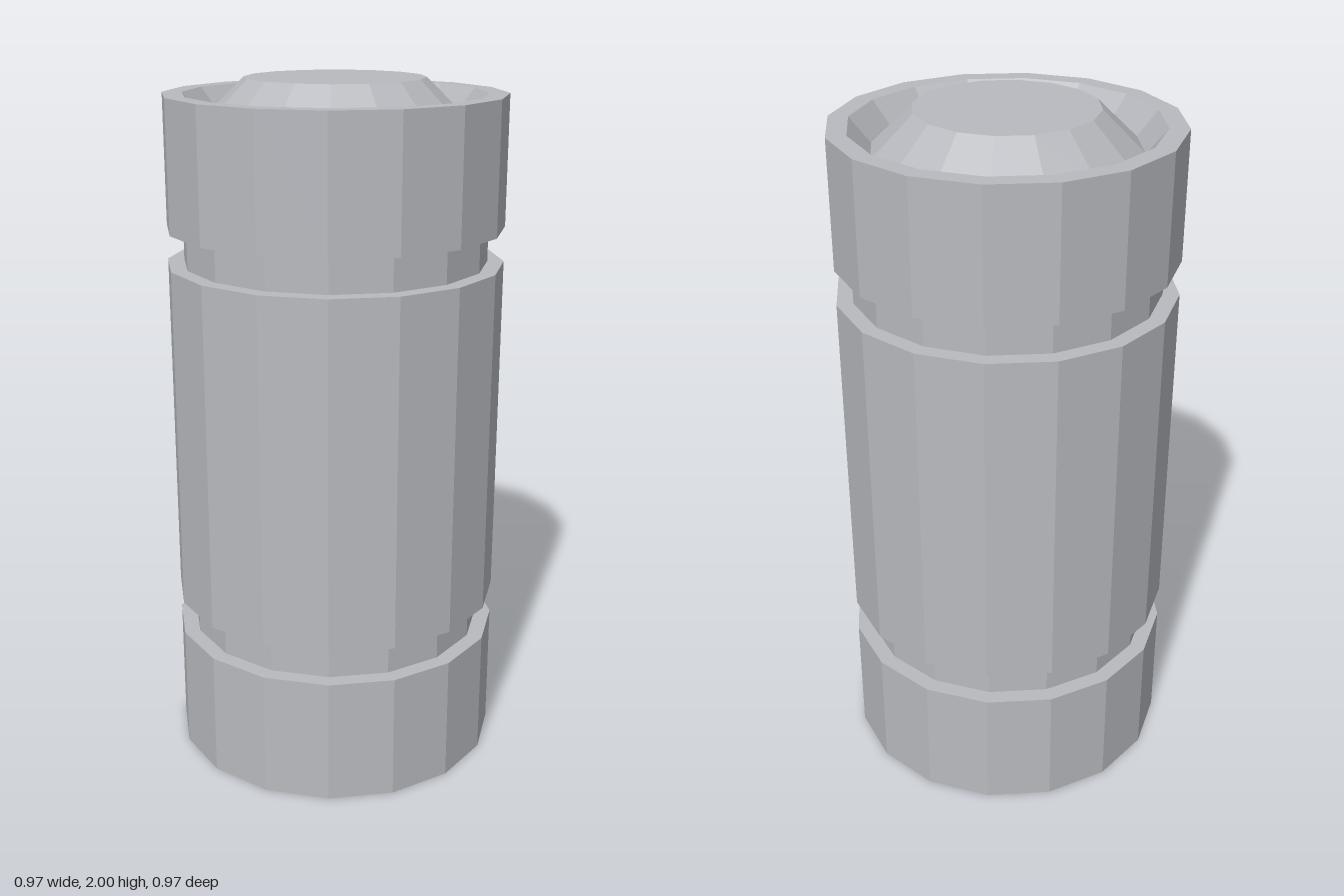
import * as THREE from 'three';

const SIDES = 16;
const R = 0.485;         // outer radius
const GROOVE = 0.438;    // radius at the bottom of the grooves
const RIM = 0.429;       // inner edge of the end rims
const SEAT = 0.37;       // foot of the sloped rims
const TOP = 1.957;       // height of the upper rim
const DEPTH = 0.07;      // depth of the recesses at both ends

export function createModel() {
  const group = new THREE.Group();
  const grey = new THREE.MeshStandardMaterial({ color: 0xb8babf });
  grey.name = 'grey';

  // Faceted turned part from [radius, height] points, listed bottom to top on the outside
  const turned = (name, profile) => {
    const lathe = new THREE.LatheGeometry(profile.map(([r, y]) => new THREE.Vector2(r, y)), SIDES);
    const geometry = lathe.toNonIndexed();
    geometry.computeVertexNormals();
    const mesh = new THREE.Mesh(geometry, grey);
    mesh.name = name;
    group.add(mesh);
  };

  // Lower end with its recessed underside
  turned('lowerCap', [[0, DEPTH], [SEAT, DEPTH], [RIM, 0], [R, 0], [R, 0.371], [GROOVE, 0.371]]);

  // Narrow necks between the main sections
  turned('lowerNeck', [[GROOVE, 0.371], [GROOVE, 0.472]]);
  turned('upperNeck', [[GROOVE, 1.485], [GROOVE, 1.586]]);

  // Long middle section
  turned('body', [[GROOVE, 0.472], [R, 0.472], [R, 1.485], [GROOVE, 1.485]]);

  // Upper end with a rim sloping inwards
  turned('upperCap', [[GROOVE, 1.586], [R, 1.586], [R, TOP], [RIM, TOP], [SEAT, TOP - DEPTH]]);

  // Bevelled plug inside the upper rim
  turned('topPlug', [[SEAT, TOP - DEPTH], [0.254, 2], [0, 2]]);

  return group;
}
